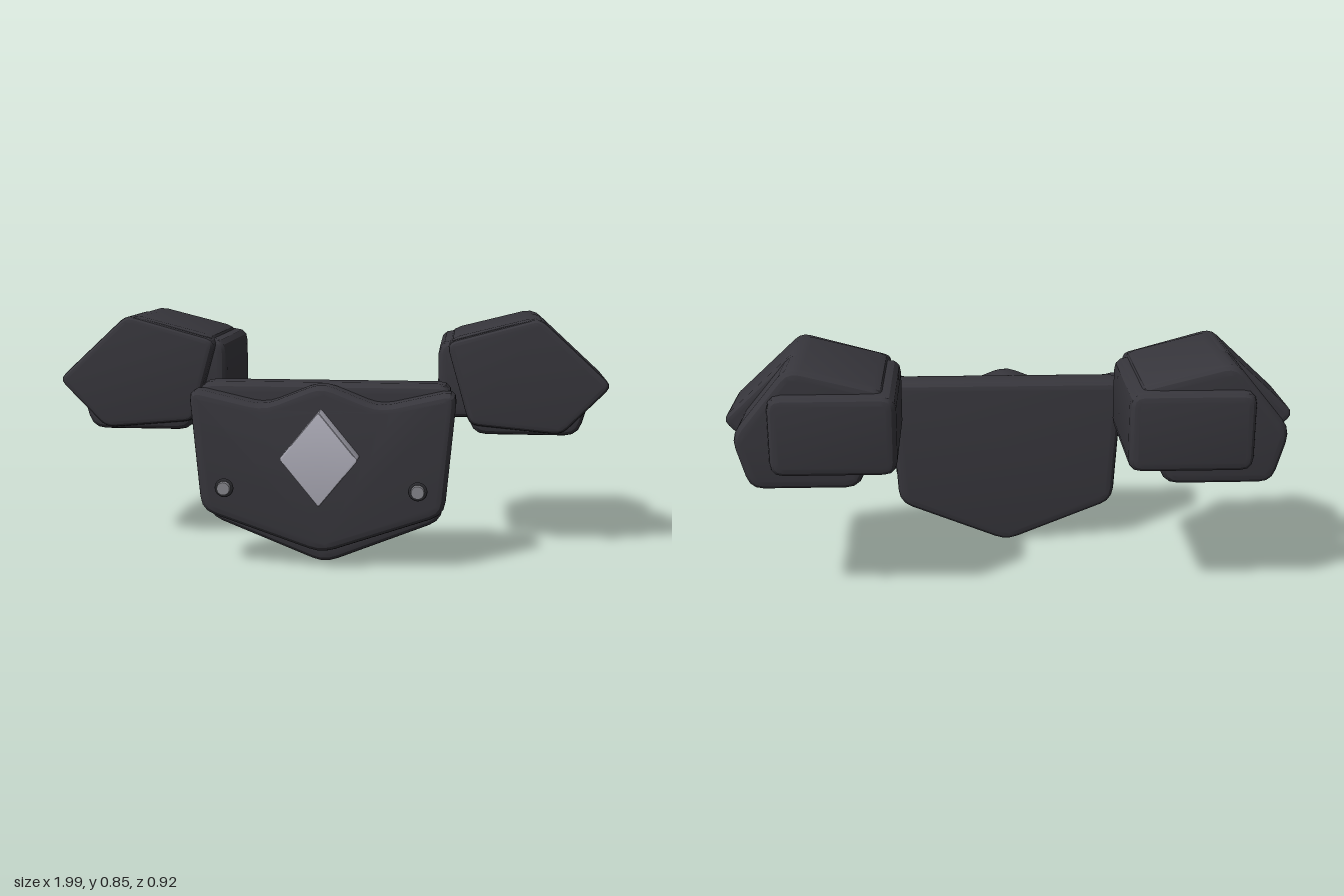
import * as THREE from 'three';
import { toCreasedNormals } from 'three/addons/utils/BufferGeometryUtils.js';

const mat = (name, color) => {
  const m = new THREE.MeshStandardMaterial({ color });
  m.name = name;
  return m;
};

// Closed outline whose corners are softened by a curve starting d before each corner
function roundedShape(points, d) {
  const p = points.map(([x, y]) => new THREE.Vector2(x, y));
  const toward = (a, b) => a.clone().add(b.clone().sub(a).setLength(d));
  const shape = new THREE.Shape();
  p.forEach((corner, i) => {
    const start = toward(corner, p[(i + p.length - 1) % p.length]);
    const end = toward(corner, p[(i + 1) % p.length]);
    if (i === 0) shape.moveTo(start.x, start.y);
    else shape.lineTo(start.x, start.y);
    shape.quadraticCurveTo(corner.x, corner.y, end.x, end.y);
  });
  shape.closePath();
  return shape;
}

// Bevelled armour slab filling the outline from z0 to z1
function slab(name, points, z0, z1, bevel, material) {
  const geo = new THREE.ExtrudeGeometry(roundedShape(points, bevel * 1.6), {
    depth: z1 - z0 - 2 * bevel,
    bevelThickness: bevel,
    bevelSize: bevel,
    bevelOffset: -bevel,
    bevelSegments: 3,
    curveSegments: 3,
  });
  geo.translate(0, 0, z0 + bevel);
  const mesh = new THREE.Mesh(toCreasedNormals(geo, 0.5), material);
  mesh.name = name;
  return mesh;
}

// Full symmetric outline from its right half, listed from the top centre to the bottom centre
const symmetric = (half) => [
  ...half,
  ...half.filter(([x]) => x > 0).reverse().map(([x, y]) => [-x, y]),
];

export function createModel() {
  const armour = mat('dark armour', 0x37363c);
  const gem = mat('pale gem', 0xb0afbb);
  const steel = mat('stud steel', 0x85858b);
  const rim = mat('stud rim', 0x2a2a2e);
  const model = new THREE.Group();
  model.name = 'armourSet';

  // Chest: back plate, notched front plate and diamond
  const chest = new THREE.Group();
  chest.name = 'chest';
  chest.add(
    slab('chestBackPlate', symmetric([[0.445, 0.64], [0.415, 0.155], [0, -0.01]]), 0.15, 0.285, 0.03, armour),
    slab('chestFrontPlate',
      symmetric([[0, 0.65], [0.2, 0.57], [0.465, 0.63], [0.425, 0.195], [0, 0.05]]), 0.255, 0.38, 0.03, armour),
    slab('chestDiamond', symmetric([[0, 0.565], [0.135, 0.4], [0, 0.235]]), 0.375, 0.462, 0.006, gem),
  );
  model.add(chest);

  for (const side of [1, -1]) {
    // Round studs on the chest
    const stud = new THREE.Group();
    stud.name = side > 0 ? 'leftStud' : 'rightStud';
    const ring = new THREE.Mesh(new THREE.TorusGeometry(0.026, 0.007, 8, 24), rim);
    ring.name = 'studRim';
    const head = new THREE.Mesh(new THREE.CylinderGeometry(0.022, 0.026, 0.026, 20), steel);
    head.name = 'studHead';
    head.rotation.x = Math.PI / 2;
    head.position.z = 0.008;
    stud.add(ring, head);
    stud.position.set(side * 0.335, 0.286, 0.403);
    model.add(stud);

    // Shoulder: pointed front guard, main body and inner block
    const at = (points) => points.map(([x, y]) => [side * x, y]);
    const shoulder = new THREE.Group();
    shoulder.name = side > 0 ? 'leftShoulder' : 'rightShoulder';
    shoulder.add(
      slab('shoulderGuard',
        at([[0.75, 0.858], [1.01, 0.618], [0.835, 0.44], [0.505, 0.47], [0.42, 0.768]]), -0.215, 0.1, 0.02, armour),
      slab('shoulderBody',
        at([[0.75, 0.861], [0.95, 0.62], [0.895, 0.432], [0.52, 0.432], [0.42, 0.778]]), -0.422, 0.075, 0.03, armour),
      slab('shoulderInnerBlock',
        at([[0.39, 0.77], [0.82, 0.77], [0.82, 0.49], [0.39, 0.49]]), -0.462, 0.05, 0.03, armour),
    );
    model.add(shoulder);
  }
  return model;
}
